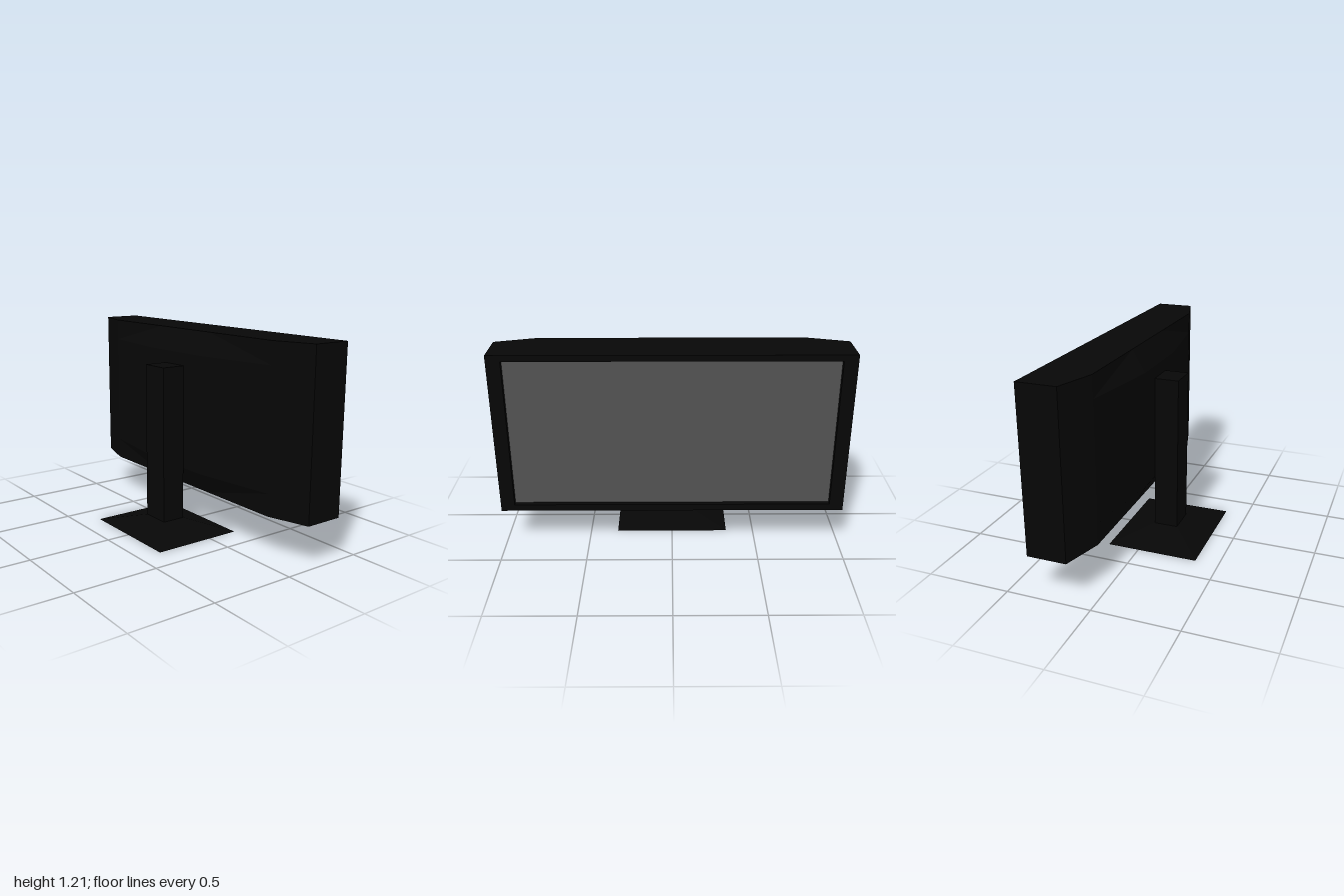
import * as THREE from 'three';

const BLACK = new THREE.MeshStandardMaterial({ color: 0x070707, flatShading: true });
const GREY = new THREE.MeshStandardMaterial({ color: 0x555555 });

const BOTTOM = 0.25, TOP = 1.21, MID = (BOTTOM + TOP) / 2;
const FRONT = 0.36, RECESS = 0.33;

function add(group, name, geometry, material) {
  const mesh = new THREE.Mesh(geometry, material);
  mesh.name = name;
  group.add(mesh);
  return mesh;
}

// Rear shell: a grid over z and y whose outermost ring runs forward to the bezel
function rearShell() {
  const zs = [-1, -1, -0.76, -0.24, 0.24, 0.76, 1, 1];
  const ys = [BOTTOM, BOTTOM, 0.38, 1.08, TOP, TOP];
  const nz = zs.length - 1, ny = ys.length - 1;
  const point = (i, j) => {
    let x = 0.06;
    if (i === 0 || i === nz || j === 0 || j === ny) x = RECESS;
    else if (i === 1 || i === nz - 1) x = 0.13;
    else if ((i === 3 || i === 4) && (j === 2 || j === 3)) x = -0.015;
    return [x, ys[j], zs[i]];
  };
  const out = [];
  for (let i = 0; i < nz; i++) {
    for (let j = 0; j < ny; j++) {
      // the ring's corner cells have no area
      if ((i === 0 || i === nz - 1) && (j === 0 || j === ny - 1)) continue;
      const a = point(i, j), b = point(i + 1, j), c = point(i + 1, j + 1), d = point(i, j + 1);
      // mirror the diagonals so the corner facets are symmetrical
      const same = (i + 0.5 - nz / 2) * (j + 0.5 - ny / 2) > 0;
      const tris = same ? [a, b, d, b, c, d] : [a, b, c, a, c, d];
      tris.forEach(p => out.push(...p));
    }
  }
  const g = new THREE.BufferGeometry();
  g.setAttribute('position', new THREE.Float32BufferAttribute(out, 3));
  g.computeVertexNormals();
  return g;
}

// Picture-frame bezel around the recessed screen
function bezel() {
  const rect = (P, z, y0, y1) => {
    const p = new P();
    p.moveTo(-z, y0);
    p.lineTo(z, y0);
    p.lineTo(z, y1);
    p.lineTo(-z, y1);
    p.closePath();
    return p;
  };
  const shape = rect(THREE.Shape, 1, BOTTOM, TOP);
  shape.holes.push(rect(THREE.Path, 0.92, 0.29, 1.175));
  const g = new THREE.ExtrudeGeometry(shape, { depth: FRONT - RECESS, bevelEnabled: false });
  return g.rotateY(Math.PI / 2).translate(RECESS, 0, 0);
}

// Box whose top and bottom rectangles differ; each is [x0, x1, halfZ, y]
function taperedBox(low, high) {
  const g = new THREE.BoxGeometry(1, 1, 1).toNonIndexed();
  const p = g.attributes.position;
  for (let i = 0; i < p.count; i++) {
    const r = p.getY(i) > 0 ? high : low;
    p.setXYZ(i, p.getX(i) > 0 ? r[1] : r[0], r[3], Math.sign(p.getZ(i)) * r[2]);
  }
  g.computeVertexNormals();
  return g;
}

export function createModel() {
  const model = new THREE.Group();
  model.name = 'monitor';

  // Display housing, facing +x
  const display = new THREE.Group();
  display.name = 'display';
  add(display, 'rearShell', rearShell(), BLACK);
  add(display, 'bezel', bezel(), BLACK);
  const screen = add(display, 'screen', new THREE.PlaneGeometry(1.84, 0.885), GREY);
  screen.rotation.y = Math.PI / 2;
  screen.position.set(RECESS + 0.001, 0.7325, 0);
  model.add(display);

  // Stand: upright column on a sloped foot
  const stand = new THREE.Group();
  stand.name = 'stand';
  add(stand, 'column', taperedBox([-0.16, -0.015, 0.09, 0.06], [-0.16, -0.015, 0.09, 1.005]), BLACK);
  add(stand, 'foot', taperedBox([-0.36, 0.19, 0.335, 0], [-0.16, -0.015, 0.09, 0.063]), BLACK);
  model.add(stand);

  return model;
}
